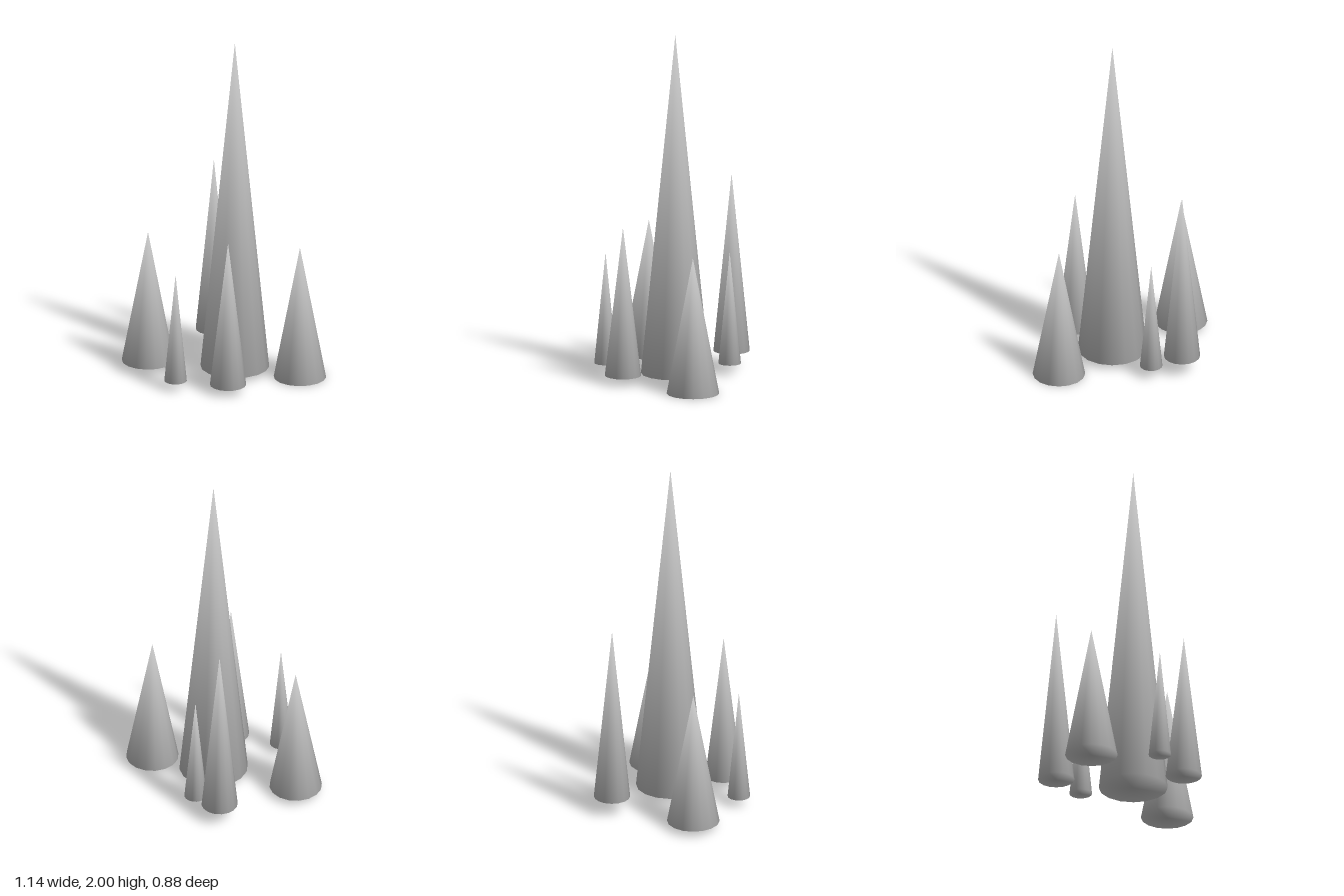
import * as THREE from 'three';

const SIDES = 16;
const material = new THREE.MeshStandardMaterial({ color: 0xcccccc, side: THREE.DoubleSide });

// Closed cone standing on y = 0, smooth across tip, side and base rim
function coneGeometry(radius, height) {
  const geometry = new THREE.ConeGeometry(radius, height, SIDES);
  geometry.translate(0, height / 2, 0);
  const { position, normal } = geometry.attributes;
  const slant = Math.hypot(radius, height);
  const n = new THREE.Vector3();
  for (let i = 0; i < position.count; i++) {
    const x = position.getX(i), y = position.getY(i), z = position.getZ(i);
    if (y > height / 2) {
      n.set(0, 1, 0); // tip
    } else if (Math.hypot(x, z) < radius / 2) {
      n.set(0, -1, 0); // centre of the base
    } else {
      // rim: average of the two side faces and the base
      const out = (2 * height) / slant / radius;
      n.set(x * out, (2 * radius) / slant - 1, z * out).normalize();
    }
    normal.setXYZ(i, n.x, n.y, n.z);
  }
  return geometry;
}

// Each spire: centre x and z, base radius, base height, tip height
const spires = [
  { name: 'mainSpire', x: 0.055, z: -0.018, radius: 0.195, base: 0.035, tip: 2.0 },
  { name: 'rightWideSpire', x: -0.423, z: 0.126, radius: 0.149, base: 0.035, tip: 0.815 },
  { name: 'leftWideSpire', x: 0.42, z: -0.113, radius: 0.149, base: 0, tip: 0.785 },
  { name: 'backSpire', x: -0.24, z: -0.34, radius: 0.103, base: 0.095, tip: 1.125 },
  { name: 'frontSpire', x: 0.162, z: 0.28, radius: 0.103, base: 0.045, tip: 0.905 },
  { name: 'backSmallSpire', x: -0.057, z: -0.327, radius: 0.064, base: 0.063, tip: 0.71 },
  { name: 'frontSmallSpire', x: -0.123, z: 0.375, radius: 0.064, base: 0.052, tip: 0.695 },
];

export function createModel() {
  const model = new THREE.Group();
  model.name = 'spireCluster';
  for (const { name, x, z, radius, base, tip } of spires) {
    const spire = new THREE.Mesh(coneGeometry(radius, tip - base), material);
    spire.name = name;
    spire.position.set(x, base, z);
    model.add(spire);
  }
  return model;
}
